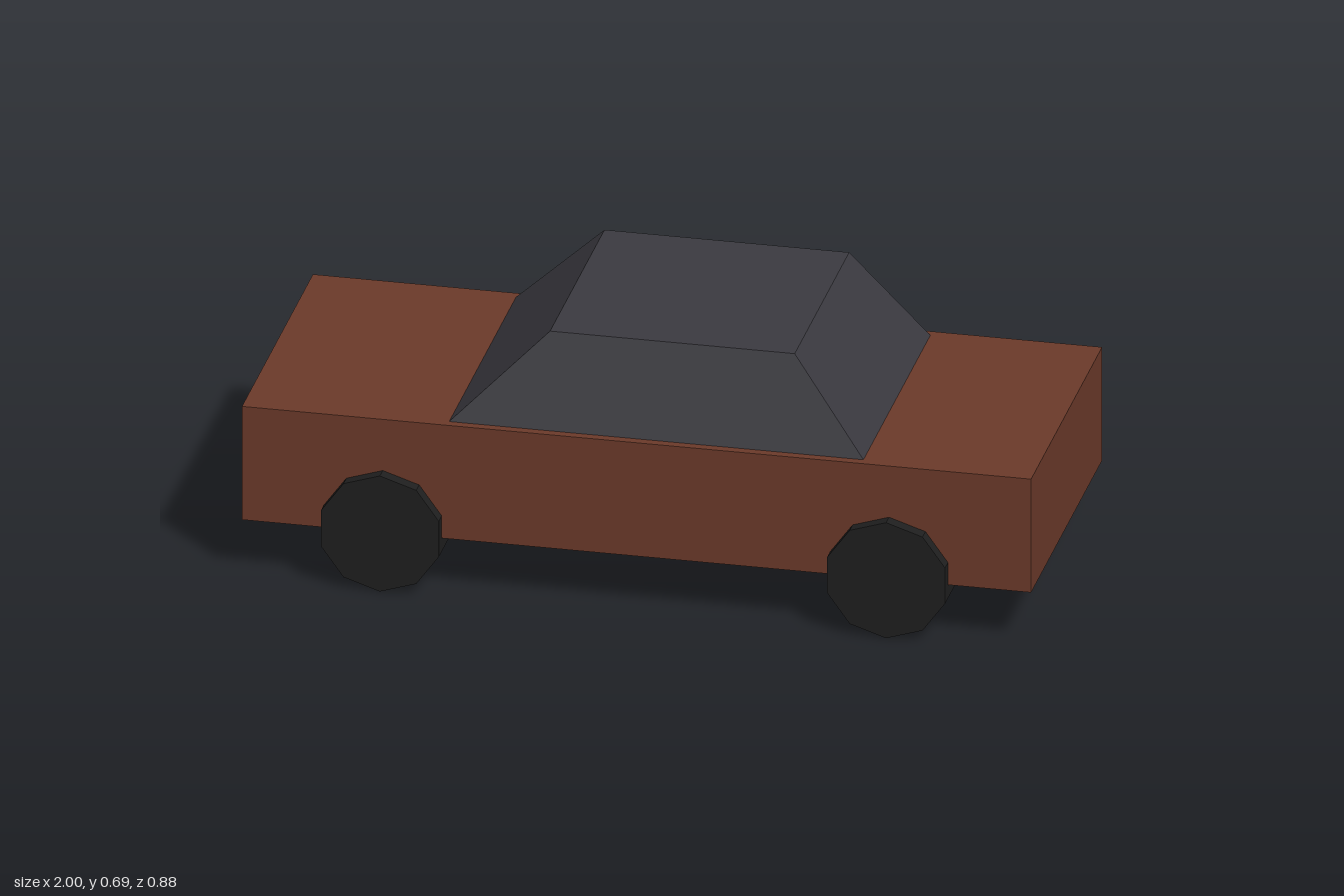
import * as THREE from 'three';

const paint = new THREE.MeshStandardMaterial({ name: 'brown paint', color: 0x6b3a2a, flatShading: true });
const glass = new THREE.MeshStandardMaterial({ name: 'dark cabin', color: 0x3b3a40, flatShading: true });
const rubber = new THREE.MeshStandardMaterial({ name: 'black rubber', color: 0x1f1f1f, flatShading: true });

function addMesh(parent, name, geometry, material, x, y, z) {
  const mesh = new THREE.Mesh(geometry, material);
  mesh.name = name;
  mesh.position.set(x, y, z);
  parent.add(mesh);
  return mesh;
}

// Box whose top face is narrowed to the given x range and half depth
function cabinGeometry(bottom, top, height) {
  const geometry = new THREE.BoxGeometry(1, height, 1);
  const p = geometry.attributes.position;
  for (let i = 0; i < p.count; i++) {
    const level = p.getY(i) > 0 ? top : bottom;
    p.setX(i, p.getX(i) > 0 ? level.x1 : level.x0);
    p.setZ(i, Math.sign(p.getZ(i)) * level.halfDepth);
  }
  geometry.computeVertexNormals();
  return geometry;
}

export function createModel() {
  const car = new THREE.Group();
  car.name = 'car';

  // Lower body
  addMesh(car, 'body', new THREE.BoxGeometry(2, 0.308, 0.808), paint, 0, 0.299, 0);

  // Sloped cabin
  const cabin = cabinGeometry(
    { x0: -0.48, x1: 0.57, halfDepth: 0.381 },
    { x0: -0.24, x1: 0.38, halfDepth: 0.31 },
    0.238
  );
  addMesh(car, 'cabin', cabin, glass, 0, 0.572, 0);

  // Four ten-sided wheels
  const wheel = new THREE.CylinderGeometry(0.157, 0.157, 0.113, 10).rotateX(Math.PI / 2);
  for (const [end, x] of [['rear', -0.643], ['front', 0.64]]) {
    for (const side of [-1, 1]) {
      addMesh(car, `${end}Wheel${side > 0 ? 'Near' : 'Far'}`, wheel, rubber, x, 0.157, side * 0.381);
    }
  }
  return car;
}
